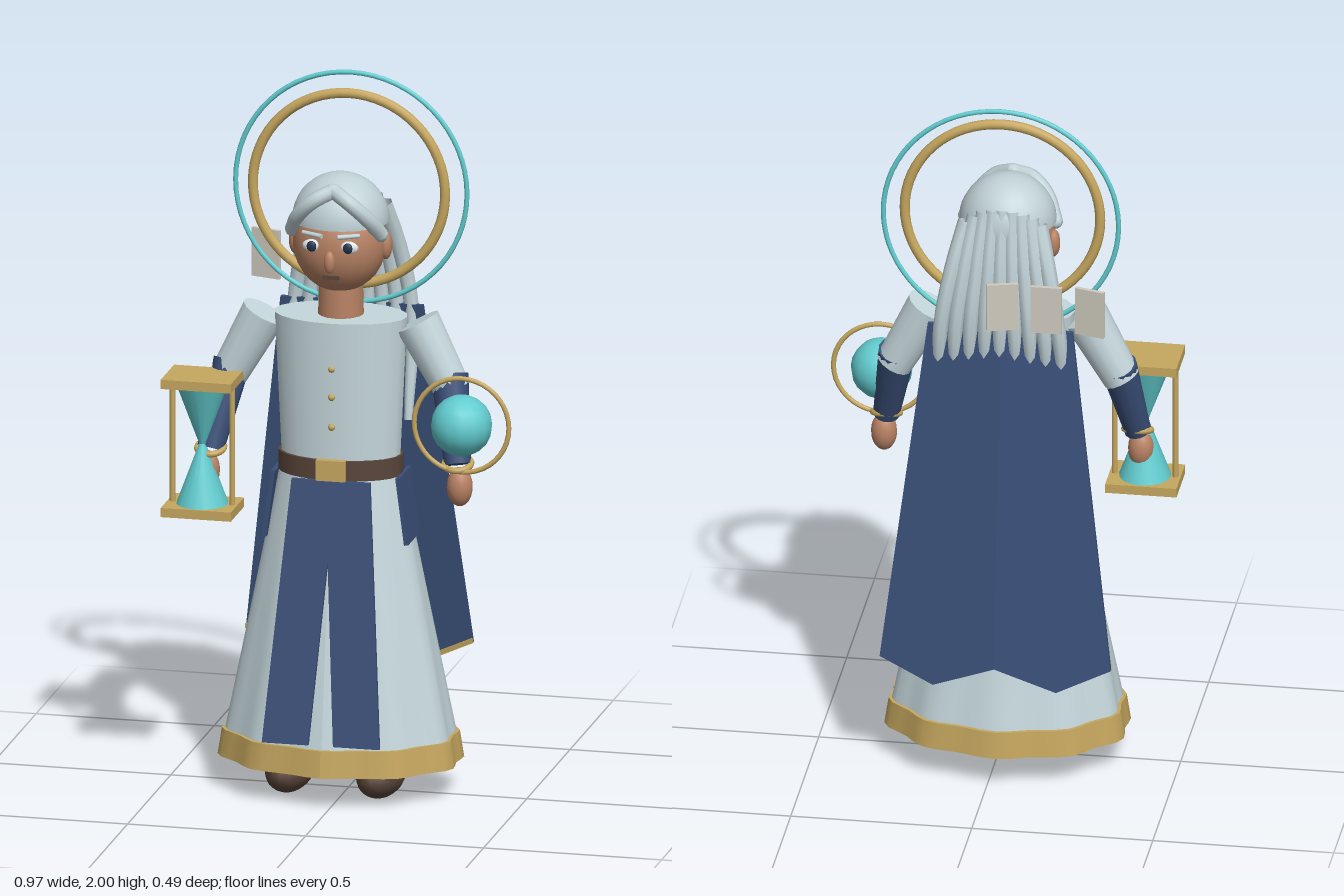
import * as THREE from 'three';

const mat = (name, color) => Object.assign(new THREE.MeshStandardMaterial({ color }), { name });
const M = {
  robe: mat('pale robe', 0xc6d8dd), hair: mat('silver hair', 0xbfd0d5), navy: mat('navy cloth', 0x3a4f78),
  gold: mat('gold', 0xc6a75f), cyan: mat('cyan glow', 0x62cccf), skin: mat('skin', 0xb88264),
  leather: mat('brown leather', 0x59453a), page: mat('parchment', 0xd0cbbf),
  white: mat('eye white', 0xdfe4e4), dark: mat('dark blue', 0x26324c),
};
const V = (x, y, z) => new THREE.Vector3(x, y, z);

export function createModel() {
  const model = new THREE.Group();
  model.name = 'robedSage';
  const body = new THREE.Group();
  body.name = 'body';
  body.position.x = -0.022;
  model.add(body);

  const add = (name, geo, material, x = 0, y = 0, z = 0, parent = body) => {
    const m = new THREE.Mesh(geo, material);
    m.name = name;
    m.position.set(x, y, z);
    parent.add(m);
    return m;
  };
  const ball = (name, material, x, y, z, rx, ry, rz, seg = 16) => {
    const m = add(name, new THREE.SphereGeometry(1, seg, Math.ceil(seg * 0.7)), material, x, y, z);
    m.scale.set(rx, ry, rz);
    return m;
  };
  // Tapered cylinder between two points
  const limb = (name, material, a, b, ra, rb) => {
    const d = b.clone().sub(a);
    const m = add(name, new THREE.CylinderGeometry(rb, ra, d.length(), 14), material);
    m.position.copy(a).addScaledVector(d, 0.5);
    m.quaternion.setFromUnitVectors(V(0, 1, 0), d.normalize());
    return m;
  };
  // Solid sheet: flat outline in x and y, bent so that z follows the height
  const sheet = (name, material, pts, zOf, depth) => {
    const geo = new THREE.ExtrudeGeometry(new THREE.Shape(pts.map(p => new THREE.Vector2(...p))),
      { depth, bevelEnabled: false });
    const p = geo.attributes.position;
    for (let i = 0; i < p.count; i++) p.setZ(i, p.getZ(i) + zOf(p.getY(i), p.getX(i)));
    geo.computeVertexNormals();
    return add(name, geo, material);
  };
  // Oval cone with soft folds that deepen toward the hem
  const folded = (name, material, y0, y1, r0, r1, fold0, fold1) => {
    const geo = new THREE.CylinderGeometry(1, 1, 1, 48, 4);
    const p = geo.attributes.position;
    for (let i = 0; i < p.count; i++) {
      const t = 0.5 - p.getY(i), x = p.getX(i), z = p.getZ(i), a = Math.atan2(x, z);
      const k = 1 + THREE.MathUtils.lerp(fold0, fold1, t) * Math.cos(a * 10);
      p.setXYZ(i, x * k * THREE.MathUtils.lerp(r0[0], r1[0], t), THREE.MathUtils.lerp(y0, y1, t),
        z * k * THREE.MathUtils.lerp(r0[1], r1[1], t));
    }
    geo.computeVertexNormals();
    return add(name, geo, material);
  };

  // Robe
  folded('skirt', M.robe, 0.91, 0.093, [0.17, 0.107], [0.328, 0.232], 0.005, 0.03);
  const hem = folded('hem', M.gold, 0.165, 0.09, [0.323, 0.231], [0.334, 0.239], 0.028, 0.03);
  hem.geometry.clearGroups();
  const torso = add('torso', new THREE.CylinderGeometry(0.186, 0.167, 0.395, 20), M.robe, 0, 1.148, 0);
  torso.scale.z = 0.62;
  const belt = add('belt', new THREE.CylinderGeometry(0.174, 0.174, 0.056, 24), M.leather, 0, 0.927, 0);
  belt.scale.z = 0.65;
  add('buckle', new THREE.BoxGeometry(0.082, 0.058, 0.02), M.gold, 0, 0.929, 0.114);
  for (const y of [1.215, 1.135, 1.05]) ball('button', M.gold, 0, y, 0.109, 0.01, 0.01, 0.01, 8);

  // Front panels, hip panels, arms, shoes and face sides
  for (const s of [-1, 1]) {
    sheet('frontPanel', M.navy, [[s * 0.11, 0.9], [-s * 0.015, 0.9], [s * 0.035, 0.18], [s * 0.165, 0.18]],
      y => 0.226 - (y - 0.18) * 0.164, 0.012);
    const hip = add('hipPanel', new THREE.BoxGeometry(0.012, 0.19, 0.135), M.navy, s * 0.187, 0.81, 0);
    hip.rotation.z = s * 0.13;
    ball('shoe', M.leather, s * 0.128, 0.063, 0.06, 0.065, 0.063, 0.128);

    limb('upperSleeve', M.robe, V(s * 0.215, 1.335, 0), V(s * 0.315, 1.15, 0.005), 0.064, 0.052);
    limb('forearm', M.navy, V(s * 0.305, 1.19, 0), V(s * 0.347, 0.96, 0.078), 0.052, 0.037);
    const cuff = add('cuff', new THREE.TorusGeometry(0.037, 0.009, 8, 20), M.gold, s * 0.347, 0.962, 0.078);
    cuff.rotation.x = Math.PI / 2 + 0.3;
    ball('hand', M.skin, s * 0.355, 0.9, 0.088, 0.036, 0.055, 0.036);

    ball('ear', M.skin, s * 0.127, 1.547, 0.003, 0.018, 0.04, 0.025, 12);
    ball('eye', M.white, s * 0.052, 1.567, 0.122, 0.027, 0.018, 0.012, 12);
    ball('iris', M.dark, s * 0.051, 1.567, 0.131, 0.014, 0.015, 0.007, 12);
    limb('eyebrow', M.hair, V(s * 0.022, 1.597, 0.133), V(s * 0.08, 1.6, 0.112), 0.007, 0.006);

    // Swept locks framing the forehead
    const lock = new THREE.CatmullRomCurve3([V(s * 0.002, 1.715, 0.09), V(s * 0.05, 1.69, 0.112),
      V(s * 0.095, 1.645, 0.095), V(s * 0.124, 1.59, 0.05)]);
    add('foreheadLock', new THREE.TubeGeometry(lock, 14, 0.021, 10), M.hair);
    for (const i of [0, 3]) {
      const p = lock.points[i];
      ball('lockEnd', M.hair, p.x, p.y, p.z, 0.021, 0.021, 0.021, 10);
    }
  }

  // Head
  add('neck', new THREE.CylinderGeometry(0.06, 0.064, 0.14, 16), M.skin, 0, 1.39, 0);
  ball('head', M.skin, 0, 1.553, 0.012, 0.129, 0.14, 0.122, 24);
  ball('nose', M.skin, 0, 1.525, 0.134, 0.016, 0.032, 0.016, 12);
  add('mouth', new THREE.BoxGeometry(0.045, 0.011, 0.012), M.leather, 0, 1.477, 0.114);
  const cap = add('hairCap', new THREE.SphereGeometry(1, 24, 10, 0, Math.PI * 2, 0, Math.PI / 2), M.hair,
    0, 1.612, 0.003);
  cap.material.side = THREE.DoubleSide;
  cap.scale.set(0.134, 0.133, 0.126);

  // Long strands down the back
  for (let i = 0; i < 9; i++) {
    const u = i / 4 - 1, n = 14;
    const path = new THREE.CatmullRomCurve3([V(u * 0.1, 1.68 - 0.04 * u * u, -0.085),
      V(u * 0.135, 1.5, -0.128), V(u * 0.165, 1.32, -0.142), V(u * 0.17, 1.03, -0.08)]);
    const geo = new THREE.TubeGeometry(path, n, 0.024, 8);
    const p = geo.attributes.position;
    for (let j = 0; j < p.count; j++) {
      const t = Math.floor(j / 9) / n, c = path.getPointAt(t);
      const v = new THREE.Vector3().fromBufferAttribute(p, j).sub(c).multiplyScalar(1 - 0.5 * t * t).add(c);
      p.setXYZ(j, v.x, v.y, v.z);
    }
    add('backStrand', geo, M.hair);
  }

  // Cape with a pointed lower edge and a gold inner trim
  const capeZ = (y, x) => -0.235 + (y - 0.3) * 0.098 + Math.abs(x) * 0.05;
  const edge = [[0.319, 0.37], [0.17, 0.3], [0, 0.36], [-0.17, 0.3], [-0.319, 0.37]];
  sheet('cape', M.navy, [[-0.2, 1.345], [0, 1.345], [0.2, 1.345], ...edge], capeZ, 0.014).position.z = -0.014;
  sheet('capeTrim', M.gold, [...edge, ...edge.map(([x, y]) => [x, y + 0.015]).reverse()], capeZ, 0.006);

  // Halo rings
  add('goldHalo', new THREE.TorusGeometry(0.27, 0.014, 10, 64), M.gold, 0, 1.673, -0.093);
  add('cyanHalo', new THREE.TorusGeometry(0.325, 0.007, 8, 64), M.cyan, 0, 1.67, -0.12);

  // Orb with its ring
  add('orb', new THREE.SphereGeometry(0.085, 14, 10), M.cyan, 0.343, 1.08, 0.108, model);
  add('orbRing', new THREE.TorusGeometry(0.133, 0.007, 8, 40), M.gold, 0.343, 1.08, 0.108, model);

  // Hourglass
  const glass = new THREE.Group();
  glass.name = 'hourglass';
  glass.position.set(-0.385, 0.98, 0.108);
  model.add(glass);
  for (const s of [-1, 1]) {
    add('plate', new THREE.BoxGeometry(0.197, 0.026, 0.155), M.gold, 0, s * 0.182, 0, glass);
    add('post', new THREE.CylinderGeometry(0.008, 0.008, 0.35, 8), M.gold, s * 0.084, 0, 0, glass);
    add('bulb', new THREE.CylinderGeometry(s > 0 ? 0.073 : 0.008, s > 0 ? 0.008 : 0.073, 0.175, 16),
      M.cyan, 0, s * 0.085, 0, glass);
  }

  // Floating pages
  [[-0.28, -0.27], [-0.16, 0], [-0.038, 0.27]].forEach(([x, turn]) => {
    add('page', new THREE.BoxGeometry(0.085, 0.138, 0.012), M.page, x, 1.442, -0.2, model).rotation.y = turn;
  });
  return model;
}
